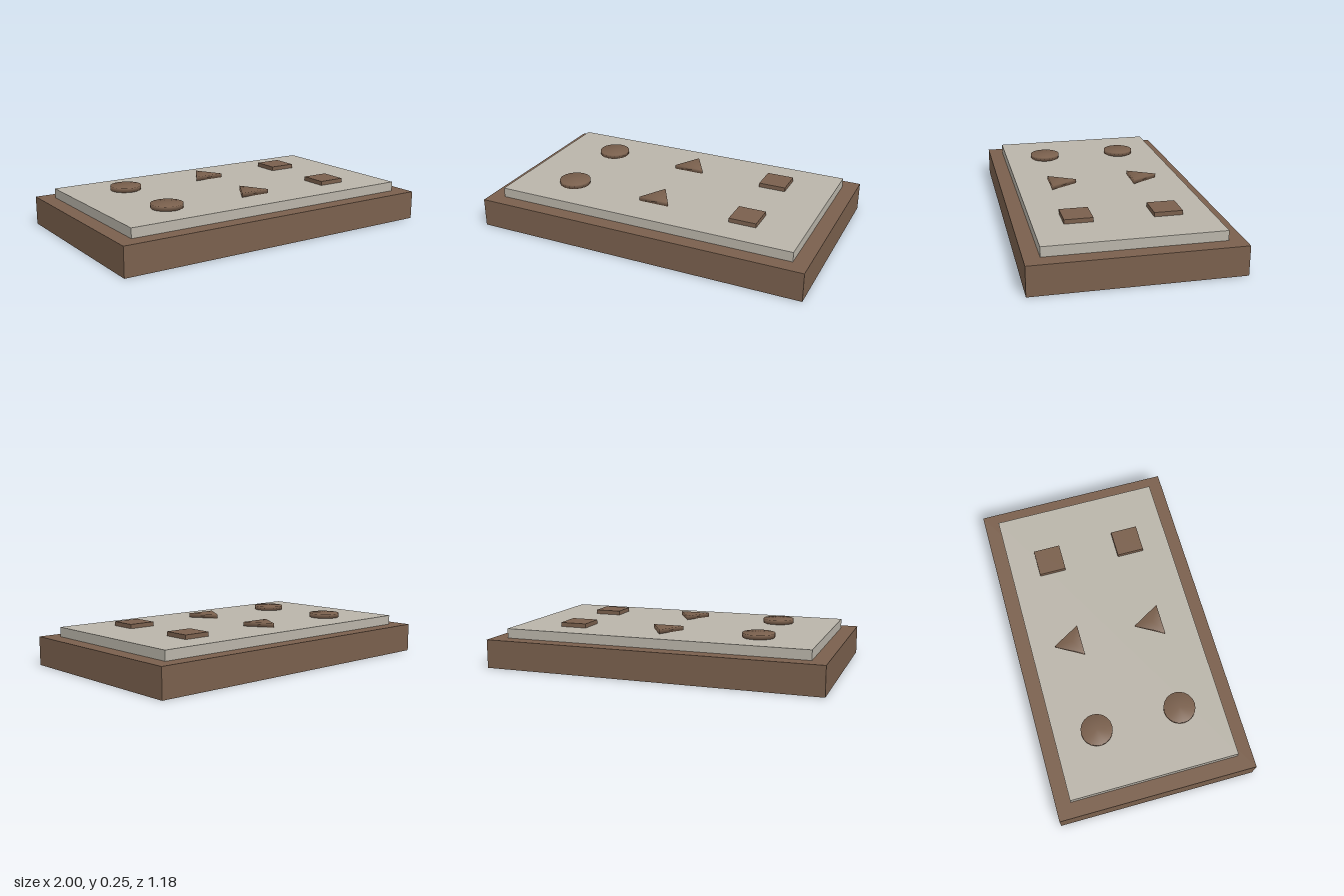
import * as THREE from 'three';
import { mergeVertices } from 'three/addons/utils/BufferGeometryUtils.js';

const wood = new THREE.MeshStandardMaterial({ color: 0x7a604d });
wood.name = 'brown wood';
const stone = new THREE.MeshStandardMaterial({ color: 0xbab5aa });
stone.name = 'pale grey';

// Prism whose caps and sides share softened normals
function softPrism(radius, height, sides) {
  const geometry = new THREE.CylinderGeometry(radius, radius, height, sides);
  geometry.deleteAttribute('normal');
  geometry.deleteAttribute('uv');
  const merged = mergeVertices(geometry, 1e-4);
  merged.computeVertexNormals();
  return merged;
}

export function createModel() {
  const group = new THREE.Group();
  group.name = 'shapeBoard';

  function add(name, geometry, material, x, y, z) {
    const mesh = new THREE.Mesh(geometry, material);
    mesh.name = name;
    mesh.position.set(x, y, z);
    group.add(mesh);
    return mesh;
  }

  // Wooden base with a paler panel resting on it
  const baseTop = 0.17, panelTop = 0.227, pieceTop = 0.252;
  add('base', new THREE.BoxGeometry(2, baseTop, 1.176), wood, 0, baseTop / 2, 0);
  add('panel', new THREE.BoxGeometry(1.82, panelTop - baseTop, 1), stone, 0, (baseTop + panelTop) / 2, 0);

  // Two rows of raised pieces: disc, triangle, square
  const height = pieceTop - panelTop;
  const y = (pieceTop + panelTop) / 2;
  const disc = softPrism(0.093, height, 20);
  const triangle = softPrism(0.107, height, 3).rotateY(Math.PI);
  const square = new THREE.BoxGeometry(0.162, height, 0.162);
  for (const [row, z] of [['back', -0.25], ['front', 0.25]]) {
    add(row + 'Disc', disc, wood, -0.56, y, z);
    add(row + 'Triangle', triangle, wood, 0, y, z);
    add(row + 'Square', square, wood, 0.56, y, z);
  }
  return group;
}
